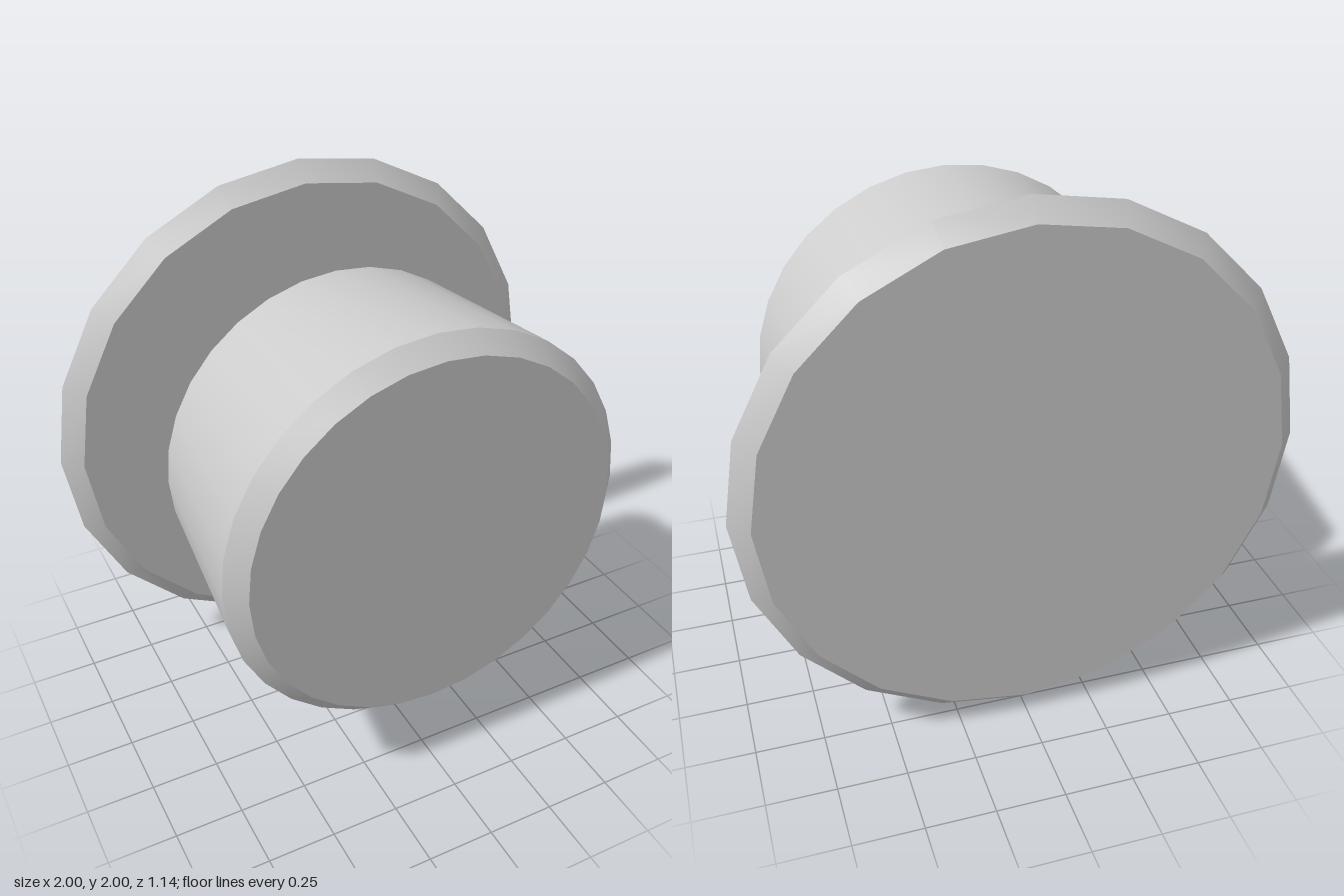
import * as THREE from 'three';
import { toCreasedNormals } from 'three/addons/utils/BufferGeometryUtils.js';

const material = new THREE.MeshStandardMaterial({ color: 0xcccccc });

// Turned solid along z from [radius, z] pairs, listed back to front
function turned(name, profile, sides) {
  const points = profile.map(([r, z]) => new THREE.Vector2(r, z));
  const lathe = new THREE.LatheGeometry(points, sides);
  lathe.rotateX(Math.PI / 2);
  const mesh = new THREE.Mesh(toCreasedNormals(lathe, 0.5), material);
  mesh.name = name;
  mesh.position.y = 1;
  return mesh;
}

export function createModel() {
  const model = new THREE.Group();
  model.name = 'knobWithBackPlate';

  // Thin round plate with a double-bevelled rim
  model.add(turned('backPlate', [
    [0, -0.57], [0.93, -0.57], [1, -0.502], [0.93, -0.435], [0, -0.435],
  ], 20));

  // Tapered knob, wider at the front, chamfered at both ends
  model.add(turned('knob', [
    [0, -0.265], [0.615, -0.265], [0.687, -0.2], [0.76, 0.502], [0.695, 0.57], [0, 0.57],
  ], 32));

  return model;
}
